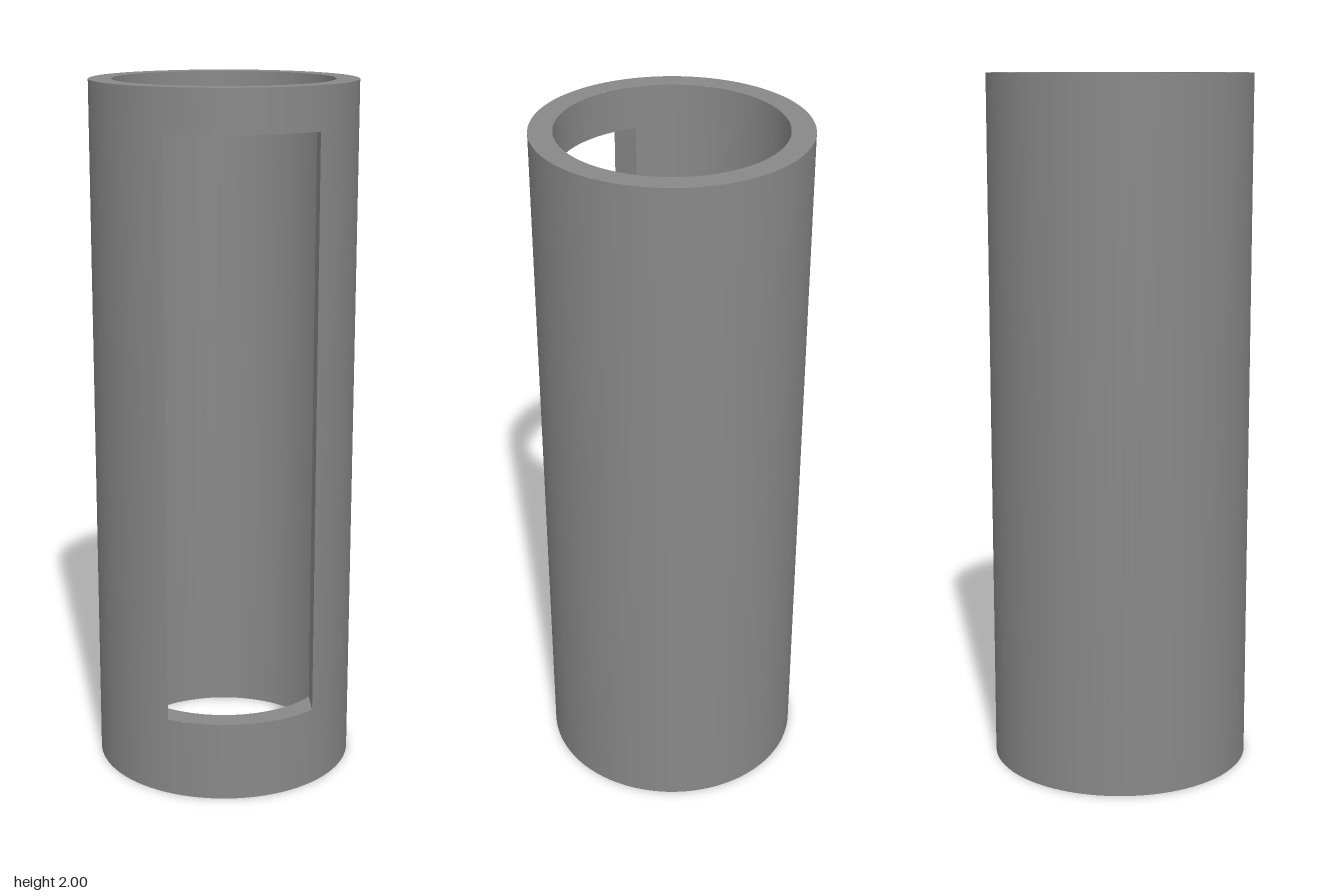
import * as THREE from 'three';

const HEIGHT = 2, OUTER = 0.375, INNER = 0.31;
const SILL = 0.23, LINTEL = 1.88;

export function createModel() {
  const group = new THREE.Group();
  group.name = 'slottedTube';
  const grey = new THREE.MeshStandardMaterial({ color: 0x888888 });
  grey.name = 'grey';

  const add = (name, geometry) => {
    const mesh = new THREE.Mesh(geometry, grey);
    mesh.name = name;
    group.add(mesh);
  };

  // Window corners [x, z] on the outer and inner walls; the cut is turned slightly
  const corner = (r, x) => [x, Math.sqrt(r * r - x * x)];
  const angle = ([x, z]) => Math.atan2(x, z);
  const outerRight = corner(OUTER, -0.203), outerLeft = corner(OUTER, 0.215);
  const innerRight = corner(INNER, -0.197), innerLeft = corner(INNER, 0.222);

  // Smooth surface swept about y from a two-point profile
  const sweep = (name, p, q, start, end) => {
    const segments = Math.max(24, Math.round((end - start) * 24));
    const profile = [new THREE.Vector2(...p), new THREE.Vector2(...q)];
    add(name, new THREE.LatheGeometry(profile, segments, start, end - start));
  };

  // Wall: full height around the back, short bands below and above the window
  const wall = (name, r, a, b, inward) => {
    const patch = (part, y0, y1, start, end) => inward
      ? sweep(name + part, [r, y1], [r, y0], start, end)
      : sweep(name + part, [r, y0], [r, y1], start, end);
    patch('Back', 0, HEIGHT, b, a + Math.PI * 2);
    patch('BottomBand', 0, SILL, a, b);
    patch('TopBand', LINTEL, HEIGHT, a, b);
  };
  wall('outerWall', OUTER, angle(outerRight), angle(outerLeft), false);
  wall('innerWall', INNER, angle(innerRight), angle(innerLeft), true);

  // Ring-shaped rims at both ends
  sweep('topRim', [OUTER, HEIGHT], [INNER, HEIGHT], 0, Math.PI * 2);
  sweep('bottomRim', [INNER, 0], [OUTER, 0], 0, Math.PI * 2);

  // Horizontal curved ledges of the window
  const ledge = (name, y, up) => {
    const points = [];
    const arc = (r, from, to) => {
      for (let i = 0; i <= 32; i++) {
        const t = from + (to - from) * i / 32;
        points.push(new THREE.Vector2(r * Math.sin(t), r * Math.cos(t) * (up ? -1 : 1)));
      }
    };
    arc(OUTER, angle(outerRight), angle(outerLeft));
    arc(INNER, angle(innerLeft), angle(innerRight));
    const geometry = new THREE.ShapeGeometry(new THREE.Shape(points));
    geometry.rotateX(up ? -Math.PI / 2 : Math.PI / 2).translate(0, y, 0);
    add(name, geometry);
  };
  ledge('windowSill', SILL, true);
  ledge('windowLintel', LINTEL, false);

  // Upright sides of the window
  const jamb = (name, p, q) => {
    const dx = q[0] - p[0], dz = q[1] - p[1];
    const geometry = new THREE.PlaneGeometry(Math.hypot(dx, dz), LINTEL - SILL);
    geometry.rotateY(Math.atan2(-dz, dx));
    geometry.translate((p[0] + q[0]) / 2, (SILL + LINTEL) / 2, (p[1] + q[1]) / 2);
    add(name, geometry);
  };
  jamb('rightJamb', outerRight, innerRight);
  jamb('leftJamb', innerLeft, outerLeft);

  return group;
}
